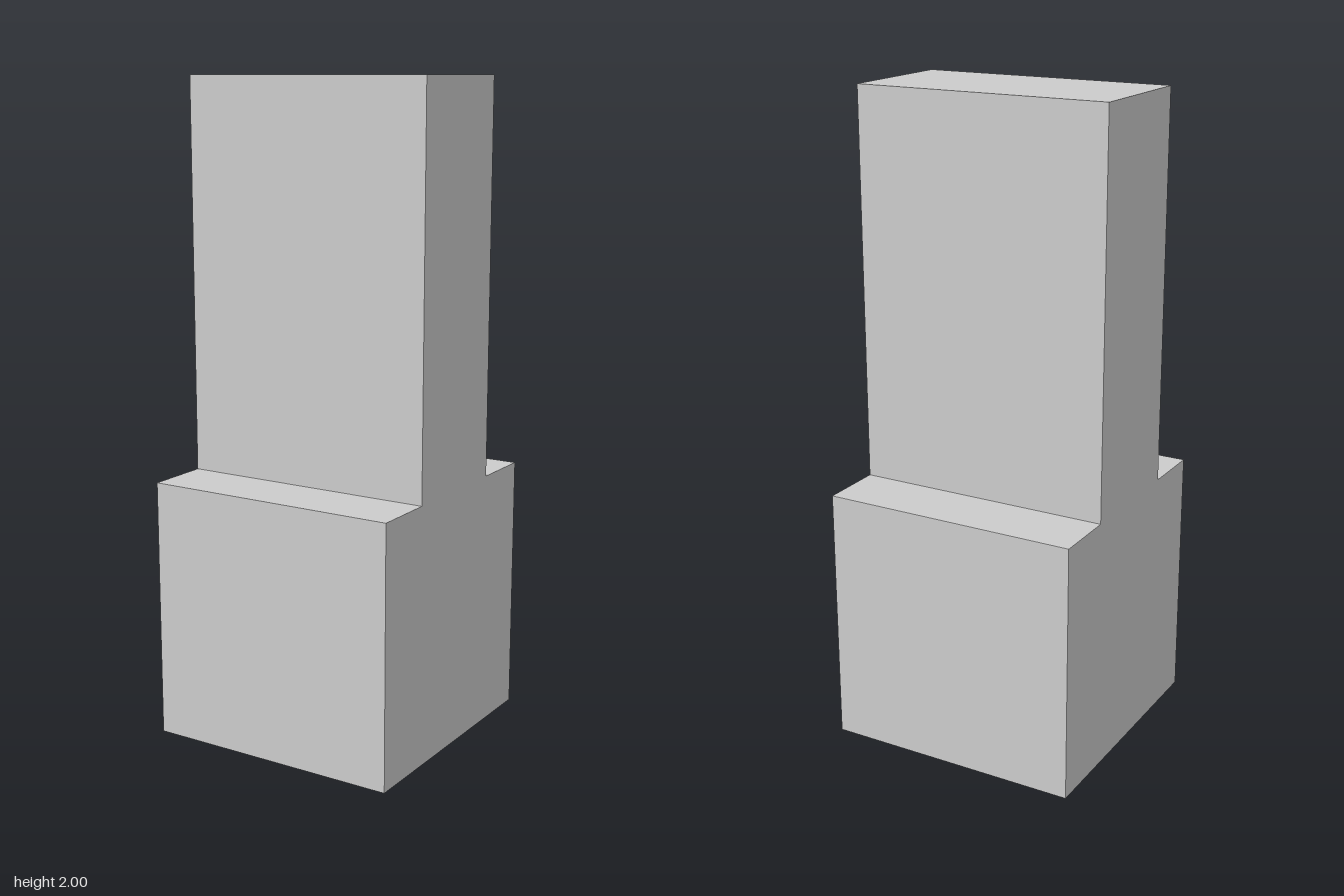
import * as THREE from 'three';

export function createModel() {
  const group = new THREE.Group();
  const width = 0.8;

  // Stepped side profile: wide block below, narrow upright tenon above
  const right = [[0.4, 0], [0.4, 0.8], [0.2, 0.8], [0.2, 2]];
  const left = right.map(([z, y]) => [-z, y]).reverse();
  const profile = new THREE.Shape([...right, ...left].map(([z, y]) => new THREE.Vector2(z, y)));

  // Extrude the profile across the width, centred on x
  const geometry = new THREE.ExtrudeGeometry(profile, { depth: width, bevelEnabled: false });
  geometry.translate(0, 0, -width / 2);
  geometry.rotateY(Math.PI / 2);

  const block = new THREE.Mesh(
    geometry,
    new THREE.MeshStandardMaterial({ color: 0xcccccc, flatShading: true })
  );
  block.name = 'steppedBlock';
  group.add(block);
  return group;
}
